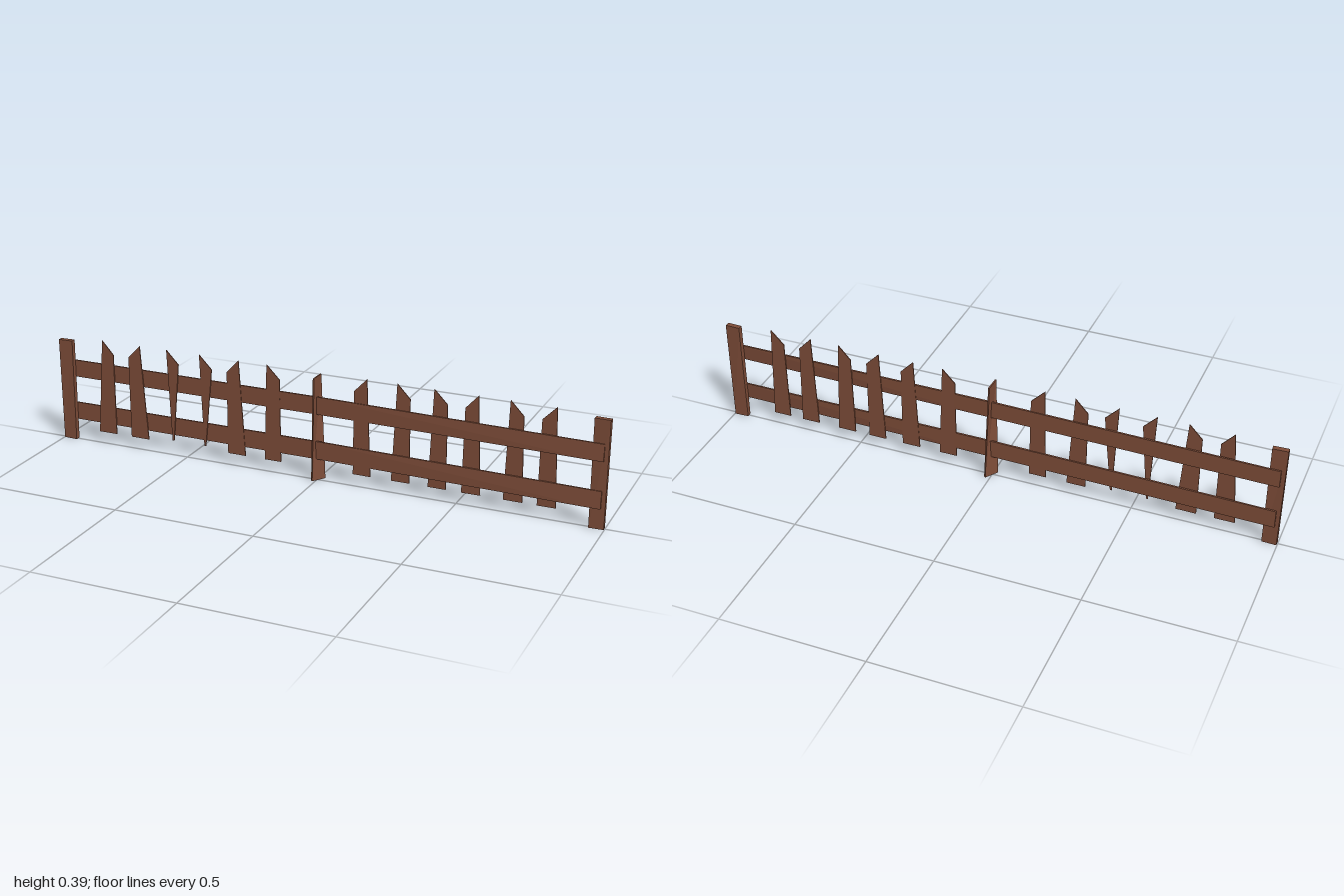
import * as THREE from 'three';

// Hand-cut plank between two quads, each listed counter-clockwise seen from the +axis end
function plank(start, end, material, name) {
  const p = [...start, ...end];
  const quads = [[3, 2, 1, 0], [4, 5, 6, 7]];
  for (let i = 0; i < 4; i++) {
    const j = (i + 1) % 4;
    quads.push([i, j, j + 4, i + 4]);
  }
  const positions = [];
  for (const [a, b, c, d] of quads) {
    for (const k of [a, b, c, a, c, d]) positions.push(...p[k]);
  }
  const geometry = new THREE.BufferGeometry();
  geometry.setAttribute('position', new THREE.Float32BufferAttribute(positions, 3));
  geometry.computeVertexNormals();
  const mesh = new THREE.Mesh(geometry, material);
  mesh.name = name;
  return mesh;
}

// Horizontal rectangle, turned about y
function level(x, y, z, w, d, turn) {
  const c = Math.cos(turn), s = Math.sin(turn);
  return [[-1, 1], [1, 1], [1, -1], [-1, -1]].map(([u, v]) => {
    const a = u * w / 2, b = v * d / 2;
    return [x + a * c + b * s, y, z - a * s + b * c];
  });
}

// Upright rectangle across a rail
function railEnd(x, low, high, z, t, lean) {
  return [
    [x, low, z - t / 2 + lean], [x, high, z - t / 2 - lean],
    [x, high, z + t / 2 - lean], [x, low, z + t / 2 + lean],
  ];
}

export function createModel() {
  const wood = new THREE.MeshStandardMaterial({ color: 0x7d4c38, flatShading: true });
  const fence = new THREE.Group();
  fence.name = 'picketFence';

  // End posts, slightly twisted
  for (const side of [-1, 1]) {
    fence.add(plank(
      level(side * 0.973, 0, 0, 0.05, 0.018, 0.04 * side),
      level(side * 0.973, 0.373, 0, 0.053, 0.018, -0.04 * side),
      wood, side > 0 ? 'leftPost' : 'rightPost'));
  }

  // Middle post stands edge-on and untwists towards its top
  fence.add(plank(
    level(0.003, 0, -0.003, 0.007, 0.053, -0.6),
    level(0, 0.373, 0, 0.005, 0.056, -0.03),
    wood, 'middlePost'));

  // Rails run from behind one end post to in front of the other
  const rails = [['lowerRail', 0.073, 0.14], ['upperRail', 0.235, 0.3]];
  for (const [name, low, high] of rails) {
    fence.add(plank(
      railEnd(-0.985, low, high - 0.003, -0.012, 0.006, 0),
      railEnd(0, low + 0.003, high, 0, 0.007, 0),
      wood, name + 'Right'));
    fence.add(plank(
      railEnd(0, low + 0.003, high, 0, 0.007, 0),
      railEnd(0.985, low - 0.001, high - 0.008, 0.012, 0.006, 0.002),
      wood, name + 'Left'));
  }

  // Pickets: bottom left, bottom right, top left, top right, tip side, broken to a point
  const pickets = [
    [-0.853, -0.783, -0.826, -0.783, -1],
    [-0.722, -0.652, -0.722, -0.676, 1],
    [-0.556, -0.55, -0.57, -0.524, -1, true],
    [-0.43, -0.424, -0.442, -0.395, -1, true],
    [-0.337, -0.27, -0.337, -0.292, 1],
    [-0.195, -0.135, -0.186, -0.138, -1],
    [0.132, 0.195, 0.134, 0.18, 1],
    [0.27, 0.335, 0.287, 0.333, -1],
    [0.4, 0.463, 0.415, 0.462, -1],
    [0.517, 0.582, 0.522, 0.566, 1],
    [0.66, 0.725, 0.672, 0.718, -1],
    [0.774, 0.837, 0.778, 0.825, 1],
  ];
  const thickness = 0.004;
  pickets.forEach(([bl, br, tl, tr, tip, broken], i) => {
    const base = broken ? 0.055 : 0.043;
    const shape = new THREE.Shape([
      new THREE.Vector2(bl, base),
      new THREE.Vector2(br, base),
      new THREE.Vector2(tr, tip > 0 ? 0.388 : 0.34),
      new THREE.Vector2(tl, tip > 0 ? 0.34 : 0.388),
    ]);
    const geometry = new THREE.ExtrudeGeometry(shape, { depth: thickness, bevelEnabled: false });
    geometry.translate(0, 0, -thickness / 2);
    const picket = new THREE.Mesh(geometry, wood);
    picket.name = 'picket' + (i + 1);
    fence.add(picket);
  });

  return fence;
}
